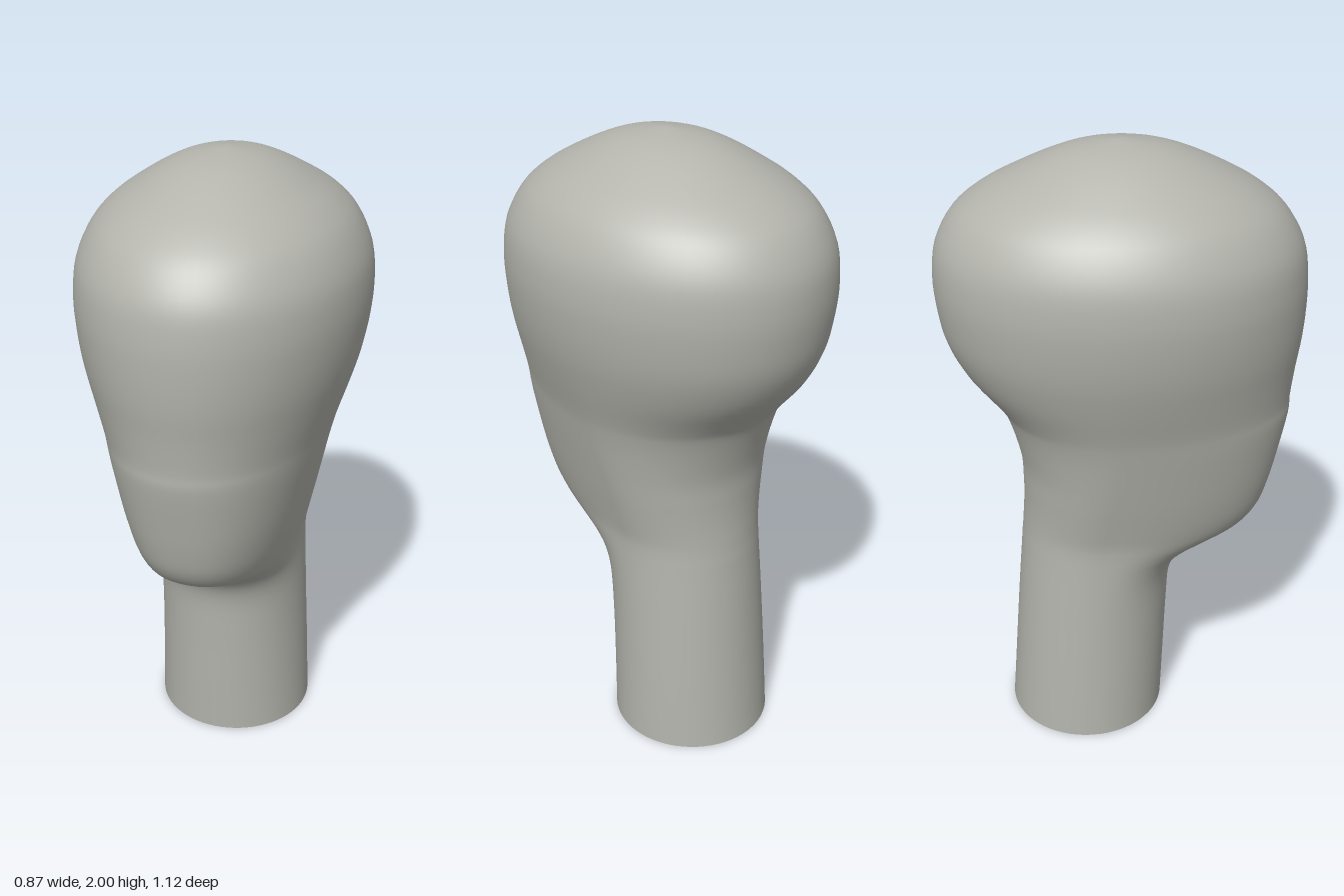
import * as THREE from 'three';

// stations from neck base to crown: [half width, y, front z, back z]
const STATIONS = [
  [0.260, 0.00, 0.140, -0.380],
  [0.254, 0.20, 0.147, -0.365],
  [0.248, 0.40, 0.154, -0.350],
  [0.245, 0.55, 0.164, -0.338],
  [0.244, 0.63, 0.200, -0.331],
  [0.244, 0.68, 0.265, -0.327],
  [0.245, 0.72, 0.345, -0.323],
  [0.249, 0.76, 0.412, -0.320],
  [0.262, 0.82, 0.455, -0.316],
  [0.281, 0.90, 0.480, -0.315],
  [0.304, 1.00, 0.502, -0.321],
  [0.336, 1.14, 0.529, -0.360],
  [0.352, 1.20, 0.531, -0.395],
  [0.384, 1.30, 0.541, -0.478],
  [0.412, 1.40, 0.554, -0.530],
  [0.430, 1.50, 0.560, -0.552],
  [0.437, 1.60, 0.558, -0.559],
  [0.426, 1.70, 0.540, -0.546],
  [0.386, 1.79, 0.487, -0.497],
  [0.333, 1.85, 0.418, -0.425],
  [0.264, 1.90, 0.332, -0.332],
  [0.180, 1.95, 0.225, -0.222],
  [0.105, 1.98, 0.132, -0.130],
  [0, 2.00, 0, 0],
];
const SIDES = 72, STEPS = 4;

// smooth loft through the stations, closed by one crown vertex
function loftGeometry() {
  const curve = column => new THREE.CatmullRomCurve3(
    STATIONS.map(s => new THREE.Vector3(s[0], s[1], s[column])), false, 'catmullrom', 0.5);
  const frontCurve = curve(2), backCurve = curve(3);
  const rows = (STATIONS.length - 1) * STEPS;
  const pos = [], idx = [];
  for (let i = 0; i < rows; i++) {
    const { x: w, y, z: front } = frontCurve.getPoint(i / rows);
    const back = backCurve.getPoint(i / rows).z;
    // the widest line leans forward up the neck; the jaw is a little squarer in front
    const mid = -0.12 * Math.max(0, 1 - (y / 1.1) ** 2);
    const power = 2 + 0.3 * Math.exp(-(((y - 0.88) / 0.25) ** 2));
    for (let j = 0; j < SIDES; j++) {
      const a = j / SIDES * Math.PI * 2, c = Math.cos(a), s = Math.sin(a);
      const e = s > 0 ? 2 / power : 1;
      const x = w * Math.sign(c) * Math.abs(c) ** e;
      const z = s > 0 ? mid + (front - mid) * s ** e : mid + (mid - back) * s;
      pos.push(x, y, z);
    }
  }
  const apex = rows * SIDES;
  pos.push(0, 2, 0);
  for (let i = 0; i < rows; i++) {
    for (let j = 0; j < SIDES; j++) {
      const a = i * SIDES + j, b = i * SIDES + (j + 1) % SIDES;
      if (i === rows - 1) idx.push(a, apex, b);
      else idx.push(a, a + SIDES, b + SIDES, a, b + SIDES, b);
    }
  }
  const g = new THREE.BufferGeometry();
  g.setAttribute('position', new THREE.Float32BufferAttribute(pos, 3));
  g.setIndex(idx);
  g.computeVertexNormals();
  return g;
}

export function createModel() {
  const group = new THREE.Group();
  group.name = 'headForm';
  const clay = new THREE.MeshStandardMaterial({ color: 0xb4b4ad });
  clay.name = 'warm grey clay';

  // head flowing into the neck
  const head = new THREE.Mesh(loftGeometry(), clay);
  head.name = 'headAndNeck';
  group.add(head);

  // flat underside of the neck
  const base = new THREE.Mesh(new THREE.CircleGeometry(0.26, SIDES), clay);
  base.name = 'neckBase';
  base.rotation.x = Math.PI / 2;
  base.position.z = -0.12;
  group.add(base);

  return group;
}
